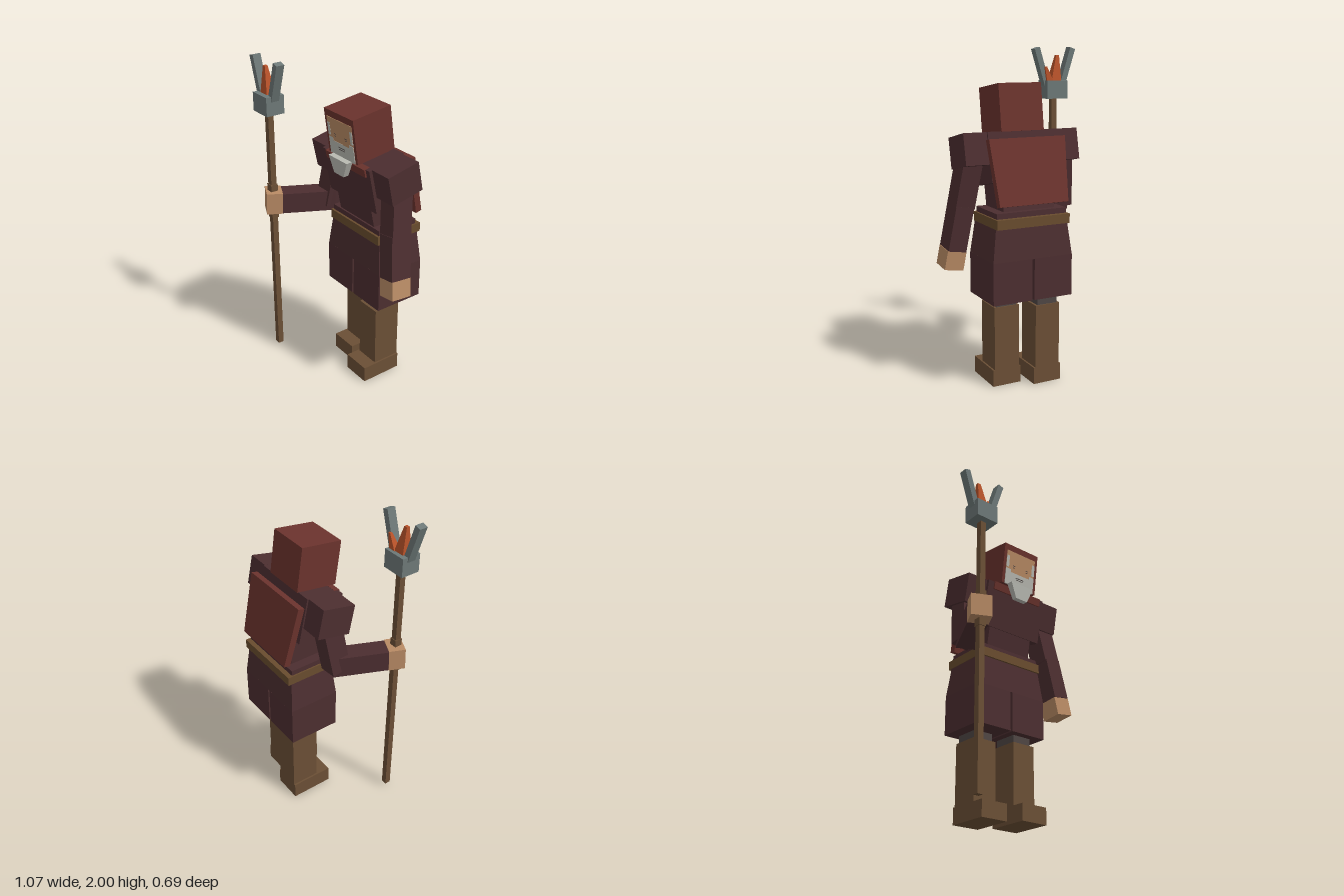
import * as THREE from 'three';

const mat = (name, color) => {
  const m = new THREE.MeshStandardMaterial({ color });
  m.name = name;
  return m;
};

export function createModel() {
  const cloth = mat('dark robe', 0x4c2e30);
  const red = mat('red cloth', 0x6b332d);
  const leather = mat('brown leather', 0x6b4f35);
  const beltMat = mat('belt brown', 0x694c2e);
  const skin = mat('skin', 0xb98b65);
  const hair = mat('grey hair', 0xb9bab2);
  const trousers = mat('dark trousers', 0x4f4644);
  const metal = mat('grey metal', 0x6d7877);
  const flameMat = mat('flame orange', 0xb9532a);

  const model = new THREE.Group();
  const CX = 0.08; // body centre line

  const add = (name, geo, m, x, y, z, rx = 0, parent = model) => {
    const mesh = new THREE.Mesh(geo, m);
    mesh.name = name;
    mesh.position.set(x, y, z);
    mesh.rotation.x = rx;
    parent.add(mesh);
    return mesh;
  };
  const box = (w, h, d) => new THREE.BoxGeometry(w, h, d);

  // box whose top is scaled in x and z
  const taper = (w, h, d, sx, sz) => {
    const g = box(w, h, d);
    const p = g.attributes.position;
    for (let i = 0; i < p.count; i++) {
      if (p.getY(i) > 0) p.setXYZ(i, p.getX(i) * sx, p.getY(i), p.getZ(i) * sz);
    }
    g.computeVertexNormals();
    return g;
  };

  // box stretched between two points
  const limb = (name, a, b, w, h, m, up = [0, 0, 1]) => {
    const A = new THREE.Vector3(...a), B = new THREE.Vector3(...b);
    const mid = A.clone().add(B).multiplyScalar(0.5);
    const mesh = add(name, box(w, h, A.distanceTo(B)), m, mid.x, mid.y, mid.z);
    mesh.up.set(...up);
    mesh.lookAt(B);
    return mesh;
  };

  // legs: the left one stands slightly forward
  for (const [side, x, dz] of [['right', -0.04, -0.075], ['left', 0.195, 0]]) {
    add(side + 'Foot', box(0.182, 0.103, 0.27), leather, x, 0.0515, -0.075 + dz);
    add(side + 'BootShaft', box(0.16, 0.39, 0.18), leather, x, 0.298, -0.12 + dz);
    add(side + 'Trouser', box(0.13, 0.2, 0.155), trousers, x, 0.56, -0.125 + dz);
  }

  // robe skirt, belt and waist
  add('rightSkirtPanel', box(0.25, 0.25, 0.325), cloth, -0.055, 0.67, -0.1625);
  add('leftSkirtPanel', box(0.25, 0.25, 0.325), cloth, 0.21, 0.67, -0.1625);
  add('upperSkirt', taper(0.515, 0.2, 0.325, 0.9, 0.89), cloth, 0.0775, 0.893, -0.1625);
  add('belt', box(0.47, 0.056, 0.325), beltMat, 0.076, 1.015, -0.168);
  add('waist', box(0.45, 0.04, 0.28), cloth, 0.075, 1.055, -0.16);

  // torso leaning forward
  add('lowerTorso', box(0.33, 0.22, 0.23), cloth, CX - 0.005, 1.14, -0.135, 0.2);
  add('upperTorso', box(0.45, 0.29, 0.25), cloth, CX - 0.005, 1.36, -0.093, 0.21);
  add('collar', box(0.375, 0.05, 0.04), red, CX, 1.455, 0.045, 0.21);
  add('backCape', taper(0.44, 0.385, 0.042, 1.11, 1), red, CX, 1.302, -0.28, 0.235);

  // shoulders
  add('rightShoulder', box(0.145, 0.185, 0.22), cloth, -0.2185, 1.413, -0.087, 0.21);
  add('leftShoulder', box(0.145, 0.185, 0.22), cloth, 0.373, 1.413, -0.087, 0.21);

  // hanging left arm
  limb('leftUpperArm', [0.37, 1.38, -0.09], [0.413, 1.09, -0.052], 0.118, 0.135, cloth);
  limb('leftForearm', [0.413, 1.1, -0.052], [0.455, 0.835, -0.024], 0.112, 0.14, cloth);
  limb('leftHand', [0.455, 0.835, -0.024], [0.473, 0.722, -0.014], 0.118, 0.135, skin);

  // right arm bent forward to hold the staff
  limb('rightUpperArm', [-0.212, 1.38, -0.1], [-0.243, 1.05, -0.05], 0.118, 0.125, cloth);
  limb('rightForearm', [-0.225, 1.085, -0.072], [-0.365, 1.092, 0.228], 0.122, 0.13, cloth, [0, 1, 0]);
  limb('rightHand', [-0.365, 1.094, 0.228], [-0.407, 1.097, 0.318], 0.125, 0.137, skin, [0, 1, 0]);

  // hooded head with thin face plates
  const head = new THREE.Group();
  head.name = 'head';
  head.position.set(CX - 0.002, 1.643, -0.04);
  head.rotation.x = 0.14;
  model.add(head);
  const F = 0.1335;
  add('hood', box(0.275, 0.275, 0.267), red, 0, 0, 0, 0, head);
  add('face', box(0.232, 0.145, 0.006), skin, 0, 0.0225, F, 0, head);
  add('beardPlate', box(0.232, 0.088, 0.008), hair, 0, -0.0935, F, 0, head);
  for (const s of [-1, 1]) {
    add('sideburn', box(0.022, 0.08, 0.008), hair, s * 0.105, 0.02, F, 0, head);
    add('cheekWhisker', box(0.04, 0.02, 0.008), hair, s * 0.096, -0.04, F, 0, head);
    add('upperLid', box(0.02, 0.004, 0.004), trousers, s * 0.052, -0.001, F + 0.002, 0, head);
    add('lowerLid', box(0.016, 0.004, 0.004), trousers, s * 0.052, -0.014, F + 0.002, 0, head);
  }
  add('mouth', box(0.064, 0.005, 0.004), trousers, 0, -0.077, F + 0.003, 0, head);
  add('mouthShade', box(0.056, 0.004, 0.004), trousers, 0, -0.089, F + 0.003, 0, head);

  // pointed beard, narrowing downward
  add('beard', taper(0.09, 0.1, 0.034, 1.95, 1.3), hair, CX - 0.004, 1.44, 0.09, 0.05);

  // staff with two grip rings
  const SX = -0.386, SZ = 0.278;
  add('staffShaft', box(0.037, 1.67, 0.037), leather, SX, 0.855, SZ);
  for (const y of [1.187, 1.003]) add('staffRing', box(0.047, 0.045, 0.047), leather, SX, y, SZ);

  // brazier, prongs and flames
  add('brazier', box(0.15, 0.115, 0.12), metal, SX, 1.733, SZ);
  limb('rightProng', [-0.44, 1.755, SZ], [-0.516, 1.994, SZ], 0.038, 0.053, metal);
  limb('leftProng', [-0.332, 1.755, SZ], [-0.256, 1.994, SZ], 0.038, 0.053, metal);
  const flame = (name, w, h, d, lean, x, z) => {
    const g = taper(w, h, d, 0.28, 0.3);
    const p = g.attributes.position;
    for (let i = 0; i < p.count; i++) {
      if (p.getY(i) > 0) p.setXYZ(i, p.getX(i) + lean[0], p.getY(i), p.getZ(i) + lean[1]);
    }
    g.computeVertexNormals();
    add(name, g, flameMat, x, 1.775 + h / 2, z);
  };
  flame('tallFlame', 0.075, 0.175, 0.065, [-0.02, 0], -0.391, 0.274);
  flame('shortFlame', 0.05, 0.105, 0.05, [0.035, -0.015], -0.348, 0.262);

  return model;
}
